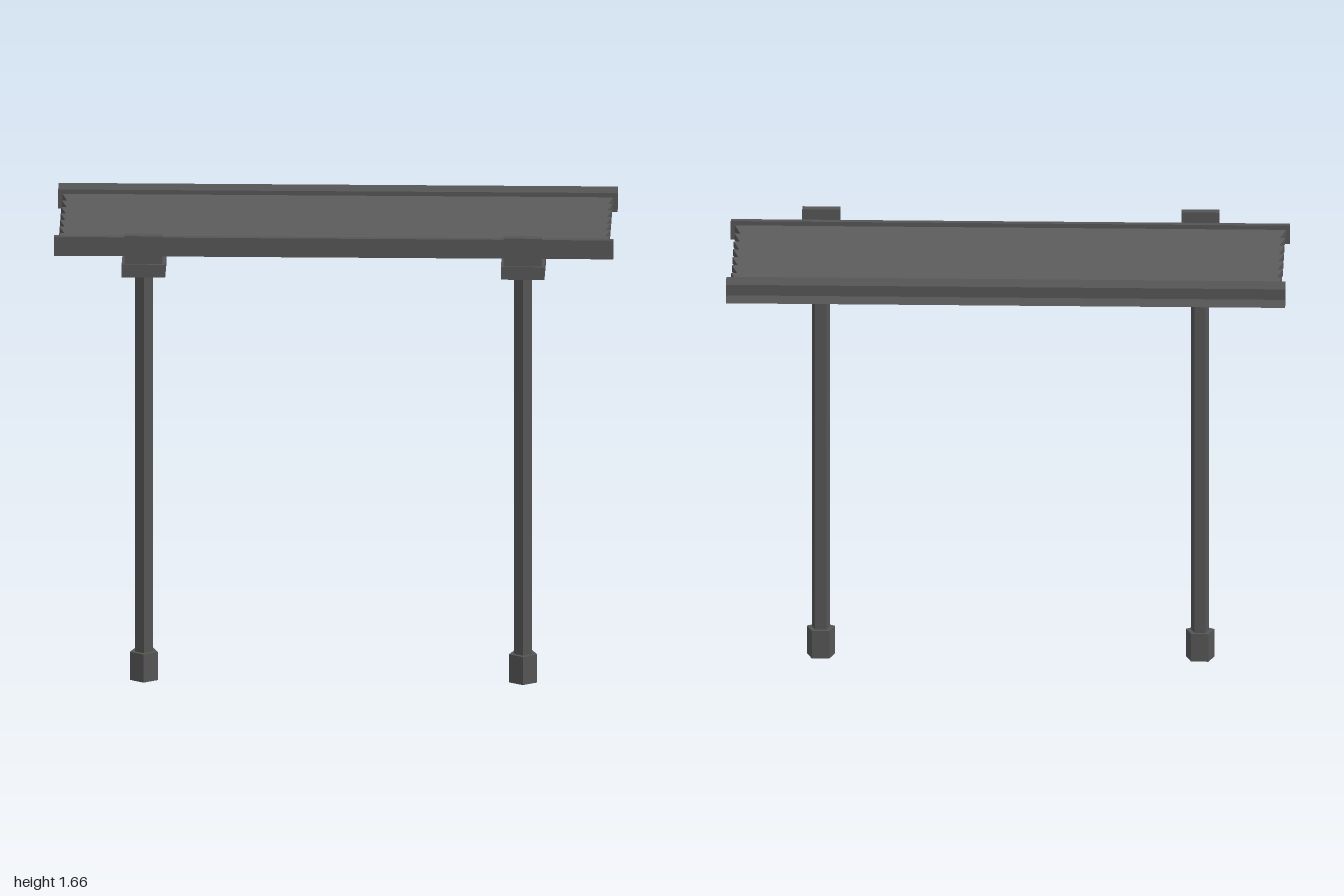
import * as THREE from 'three';

export function createModel() {
  const model = new THREE.Group();
  model.name = 'carport';

  const darkMetal = new THREE.MeshStandardMaterial({
    color: 0x555555, flatShading: true, side: THREE.DoubleSide,
  });
  darkMetal.name = 'darkGreyMetal';

  function add(name, geometry, x, y, z, parent = model) {
    const mesh = new THREE.Mesh(geometry, darkMetal);
    mesh.name = name;
    mesh.position.set(x, y, z);
    parent.add(mesh);
    return mesh;
  }

  // Box given by its limits in y and z, centred on x
  function addBox(name, x, width, y0, y1, z0, z1, parent) {
    const box = new THREE.BoxGeometry(width, y1 - y0, z1 - z0);
    return add(name, box, x, (y0 + y1) / 2, (z0 + z1) / 2, parent);
  }

  // Two five-sided posts with foot and roof bracket
  for (const side of [-1, 1]) {
    const support = new THREE.Group();
    support.name = side > 0 ? 'leftSupport' : 'rightSupport';
    support.position.x = side * 0.678;
    model.add(support);
    add('foot', new THREE.CylinderGeometry(0.053, 0.053, 0.104, 5), 0, 0.052, 0.308, support);
    add('post', new THREE.CylinderGeometry(0.034, 0.034, 1.42, 5), 0, 0.81, 0.308, support);
    addBox('bracketPlate', 0, 0.156, 1.515, 1.562, 0.203, 0.403, support);
    addBox('bracketUpright', 0, 0.136, 1.562, 1.665, 0.36, 0.394, support);
  }

  // Front rail of the roof
  addBox('frontRail', 0, 2, 1.57, 1.64, 0.297, 0.32);

  // Rear gutter: a box without its back face, the last six indices
  const gutter = addBox('rearGutter', 0, 2, 1.57, 1.64, -0.403, -0.315);
  gutter.geometry.setIndex(Array.from(gutter.geometry.index.array).slice(0, 30));
  gutter.geometry.clearGroups();

  // Corrugated roof sheet: zigzag section swept along x
  const zBack = -0.315, zFront = 0.297, folds = 14;
  const step = (zFront - zBack) / folds;
  const top = [], bottom = [];
  for (let i = 0; i <= folds; i++) {
    const a = -(zBack + i * step);
    const y = i % 2 ? 1.594 : 1.624;
    top.push(new THREE.Vector2(a, y));
    bottom.unshift(new THREE.Vector2(a, y - 0.024));
  }
  const sheet = new THREE.ExtrudeGeometry(new THREE.Shape([...top, ...bottom]), {
    depth: 2, bevelEnabled: false,
  });
  sheet.translate(0, 0, -1).rotateY(Math.PI / 2);

  // The ridges reach further out at the ends than the valleys
  const p = sheet.attributes.position;
  for (let i = 0; i < p.count; i++) {
    const fold = Math.round((p.getZ(i) - zBack) / step);
    p.setX(i, Math.sign(p.getX(i)) * (fold % 2 ? 0.955 : 0.985));
  }
  sheet.computeVertexNormals();
  add('corrugatedRoof', sheet, 0, 0, 0);

  return model;
}
